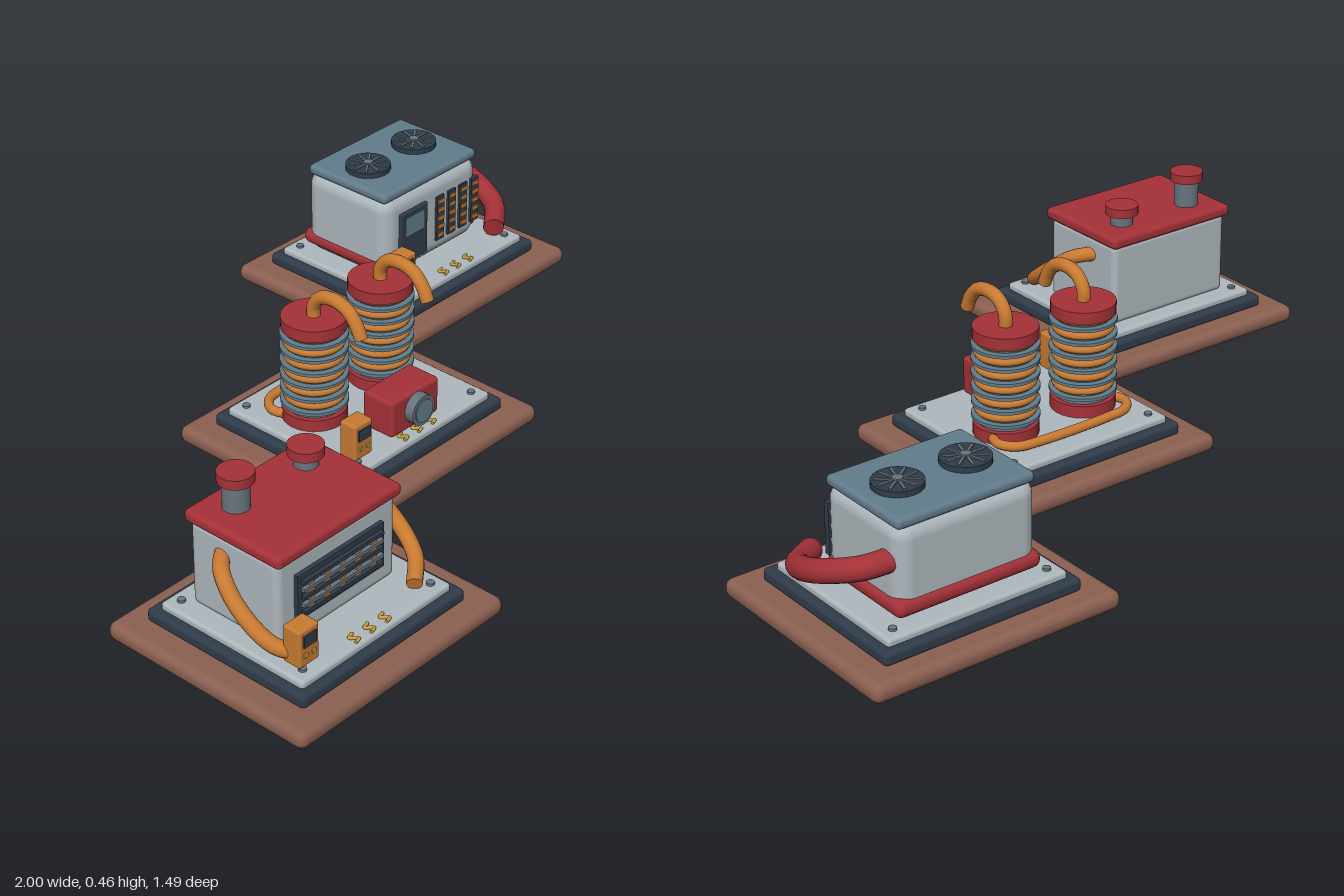
import * as THREE from 'three';
import { RoundedBoxGeometry } from 'three/addons/geometries/RoundedBoxGeometry.js';

const mat = (name, color) => {
  const m = new THREE.MeshStandardMaterial({ color });
  m.name = name;
  return m;
};
const M = {
  earth: mat('brown earth', 0x8b6051),
  navy: mat('dark navy', 0x303c4a),
  pale: mat('pale steel', 0xafb8be),
  red: mat('red enamel', 0xa53238),
  orange: mat('copper orange', 0xc87a32),
  slate: mat('slate blue', 0x627d8c),
  grey: mat('mid grey', 0x68747e),
  brass: mat('brass', 0xc9a040),
};

function add(parent, name, geo, material, x = 0, y = 0, z = 0) {
  const m = new THREE.Mesh(geo, material);
  m.name = name;
  m.position.set(x, y, z);
  parent.add(m);
  return m;
}
const box = (p, name, m, w, h, d, x, y, z) => add(p, name, new THREE.BoxGeometry(w, h, d), m, x, y, z);
const rbox = (p, name, m, w, h, d, r, x, y, z) => add(p, name, new RoundedBoxGeometry(w, h, d, 3, r), m, x, y, z);
// upright cylinder between two heights
const cyl = (p, name, m, r, y0, y1, x, z, seg = 28) =>
  add(p, name, new THREE.CylinderGeometry(r, r, y1 - y0, seg), m, x, (y0 + y1) / 2, z);

// round pipe through points, with flat ends
function pipe(p, name, m, r, pts) {
  const curve = new THREE.CatmullRomCurve3(pts.map(a => new THREE.Vector3(...a)));
  const g = new THREE.Group();
  g.name = name;
  p.add(g);
  add(g, name + 'Tube', new THREE.TubeGeometry(curve, 48, r, 14), m);
  for (const t of [0, 1]) {
    const c = curve.getPoint(t);
    const cap = add(g, name + 'End', new THREE.CircleGeometry(r, 14), m, c.x, c.y, c.z);
    const dir = curve.getTangent(t).multiplyScalar(t ? 1 : -1);
    cap.quaternion.setFromUnitVectors(new THREE.Vector3(0, 0, 1), dir);
  }
}
const mirror = pts => pts.map(([x, y, z]) => [-x, y, z]);

// ground tile, plinth, deck and the small fittings all three machines share
function makeTile(name, x, z) {
  const g = new THREE.Group();
  g.name = name;
  g.position.set(x, 0, z);
  rbox(g, 'groundTile', M.earth, 0.667, 0.048, 0.596, 0.022, 0, 0.024, 0);
  rbox(g, 'plinth', M.navy, 0.53, 0.034, 0.476, 0.011, 0, 0.06, 0);
  rbox(g, 'deckPlate', M.pale, 0.485, 0.03, 0.43, 0.009, 0, 0.079, 0);
  for (const sx of [-1, 1]) for (const sz of [-1, 1])
    cyl(g, 'deckBolt', M.grey, 0.01, 0.09, 0.1, sx * 0.208, sz * 0.183, 10);
  // little S-shaped clips at the front of the deck
  for (const cx of [-0.055, -0.005, 0.045])
    pipe(g, 'brassClip', M.brass, 0.004, [
      [cx + 0.009, 0.097, 0.178], [cx - 0.007, 0.097, 0.184], [cx, 0.097, 0.192],
      [cx + 0.007, 0.097, 0.2], [cx - 0.009, 0.097, 0.206]]);
  // control box
  rbox(g, 'controlBox', M.orange, 0.062, 0.097, 0.05, 0.006, -0.19, 0.15, 0.162);
  box(g, 'controlScreen', M.navy, 0.04, 0.03, 0.006, -0.19, 0.169, 0.188);
  for (const i of [-1, 1]) box(g, 'controlButton', M.brass, 0.01, 0.01, 0.006, -0.19 + i * 0.012, 0.132, 0.188);
  return g;
}

// boiler house with two chimneys and side pipes
function makeBoiler() {
  const g = makeTile('boilerModule', -0.667, 0.446);
  rbox(g, 'boilerBody', M.pale, 0.38, 0.225, 0.264, 0.018, 0, 0.2, -0.037);
  rbox(g, 'boilerRoof', M.red, 0.396, 0.032, 0.287, 0.012, 0, 0.321, -0.036);
  for (const [x, r, top] of [[-0.111, 0.032, 0.43], [0.11, 0.029, 0.39]]) {
    cyl(g, 'chimney', M.grey, r, 0.33, top - 0.02, x, -0.101);
    cyl(g, 'chimneyCap', M.red, 0.043, top - 0.024, top, x, -0.101);
  }
  // grille with glowing bars behind slats
  box(g, 'grilleBack', M.navy, 0.278, 0.118, 0.014, 0, 0.203, 0.099);
  for (let i = -2; i <= 2; i++)
    box(g, 'grilleBar', M.orange, 0.018, 0.088, 0.006, i * 0.05, 0.203, 0.108);
  for (let i = 0; i < 5; i++)
    box(g, 'grilleSlat', i % 2 ? M.grey : M.navy, 0.256, 0.009, 0.01, 0, 0.163 + i * 0.02, 0.111);
  const side = [[0.17, 0.263, -0.085], [0.222, 0.25, -0.04], [0.244, 0.196, 0.035],
    [0.226, 0.135, 0.12], [0.167, 0.111, 0.172]];
  pipe(g, 'leftPipe', M.orange, 0.019, side);
  pipe(g, 'rightPipe', M.orange, 0.019, mirror(side));
  return g;
}

// twin coil towers with a pump
function makeCoils() {
  const g = makeTile('coilModule', 0, 0);
  for (const x of [-0.12, 0.118]) {
    const t = new THREE.Group();
    t.name = 'coilTower';
    t.position.set(x, 0, -0.037);
    g.add(t);
    cyl(t, 'coilBase', M.red, 0.081, 0.09, 0.125, 0, 0);
    cyl(t, 'coilCore', M.grey, 0.068, 0.12, 0.35, 0, 0);
    cyl(t, 'coilCap', M.red, 0.081, 0.345, 0.375, 0, 0);
    for (let i = 0; i < 6; i++) {
      const y = 0.143 + i * 0.037;
      cyl(t, 'coolingFin', M.slate, 0.084, y - 0.004, y + 0.004, 0, 0);
      if (i < 6) {
        const ring = add(t, 'copperWinding', new THREE.TorusGeometry(0.069, 0.009, 8, 32), M.orange, 0, y + 0.017, 0);
        ring.rotation.x = Math.PI / 2;
      }
    }
    pipe(t, 'hookPipe', M.orange, 0.017, [[0, 0.36, 0], [0, 0.4, 0], [0, 0.43, 0.022],
      [0, 0.441, 0.062], [0, 0.43, 0.108], [0, 0.4, 0.137], [0, 0.368, 0.152]]);
  }
  // low pipe linking the towers behind
  const half = [[-0.187, 0.11, -0.075], [-0.194, 0.11, -0.11], [-0.165, 0.11, -0.147], [-0.1, 0.11, -0.157]];
  pipe(g, 'linkPipe', M.orange, 0.012, [...half, ...mirror(half).reverse()]);
  rbox(g, 'pumpBody', M.red, 0.172, 0.1, 0.096, 0.01, -0.003, 0.151, 0.138);
  const dial = cyl(g, 'pumpDial', M.grey, 0.04, 0.14, 0.17, -0.003, 0.197);
  dial.rotation.x = Math.PI / 2;
  const face = cyl(g, 'pumpDialFace', M.slate, 0.031, 0.153, 0.157, -0.003, 0.213);
  face.rotation.x = Math.PI / 2;
  return g;
}

// cooler with two roof fans and a thick hose
function makeCooler() {
  const g = makeTile('coolerModule', 0.667, -0.446);
  rbox(g, 'coolerBody', M.pale, 0.375, 0.235, 0.285, 0.04, -0.006, 0.205, -0.033);
  rbox(g, 'coolerSkirt', M.red, 0.39, 0.043, 0.285, 0.02, -0.003, 0.125, -0.042);
  rbox(g, 'coolerLid', M.slate, 0.368, 0.028, 0.272, 0.012, -0.004, 0.326, -0.034);
  for (const x of [-0.097, 0.085]) {
    const f = new THREE.Group();
    f.name = 'roofFan';
    f.position.set(x, 0, -0.038);
    g.add(f);
    cyl(f, 'fanHousing', M.navy, 0.06, 0.335, 0.354, 0, 0);
    cyl(f, 'fanHub', M.grey, 0.013, 0.354, 0.36, 0, 0, 16);
    for (let i = 0; i < 10; i++) {
      const a = i * Math.PI / 5;
      const blade = box(f, 'fanBlade', M.grey, 0.04, 0.004, 0.006,
        Math.cos(a) * 0.032, 0.355, -Math.sin(a) * 0.032);
      blade.rotation.y = a;
    }
  }
  // door with a screen
  rbox(g, 'door', M.navy, 0.107, 0.152, 0.022, 0.005, -0.087, 0.195, 0.107);
  box(g, 'doorScreen', M.slate, 0.075, 0.056, 0.006, -0.087, 0.228, 0.118);
  // vent columns
  for (let c = 0; c < 4; c++) {
    const x = 0.02 + c * 0.0465;
    box(g, 'ventColumn', M.navy, 0.03, 0.13, 0.016, x, 0.2, 0.108);
    for (let r = 0; r < 5; r++)
      box(g, 'ventSlot', M.orange, 0.024, 0.011, 0.006, x, 0.15 + r * 0.025, 0.116);
  }
  pipe(g, 'coolingHose', M.red, 0.028, [[0.17, 0.227, -0.129], [0.232, 0.22, -0.112],
    [0.276, 0.187, -0.02], [0.258, 0.143, 0.1], [0.18, 0.123, 0.168]]);
  return g;
}

export function createModel() {
  const model = new THREE.Group();
  model.name = 'machineModules';
  model.add(makeBoiler(), makeCoils(), makeCooler());
  return model;
}
